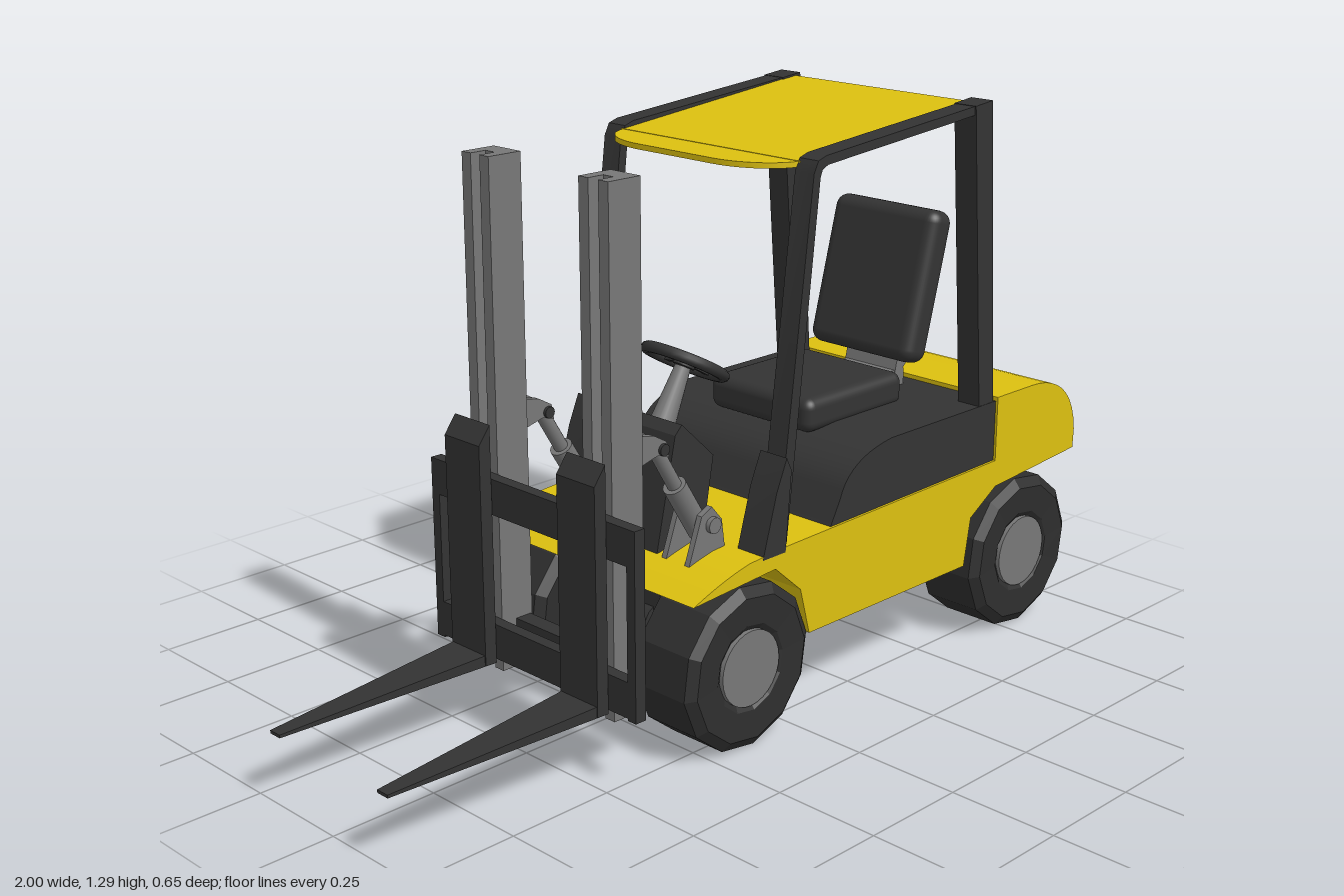
import * as THREE from 'three';
import { toCreasedNormals } from 'three/addons/utils/BufferGeometryUtils.js';
import { RoundedBoxGeometry } from 'three/addons/geometries/RoundedBoxGeometry.js';

const mat = (color, flatShading = false) => new THREE.MeshStandardMaterial({ color, flatShading });
const yellow = mat(0xdcc010), dark = mat(0x333333), grey = mat(0x777777);
const rubber = mat(0x2e2e2e, true);
const MID = -0.006; // centre line of the chassis

export function createModel() {
  const model = new THREE.Group();
  model.name = 'forklift';

  const add = (name, geo, material, x = 0, y = 0, z = 0) => {
    const mesh = new THREE.Mesh(geo, material);
    mesh.name = name;
    mesh.position.set(x, y, z);
    model.add(mesh);
    return mesh;
  };
  const box = (name, material, x0, x1, y0, y1, z0, z1) =>
    add(name, new THREE.BoxGeometry(x1 - x0, y1 - y0, z1 - z0), material, (x0 + x1) / 2, (y0 + y1) / 2, (z0 + z1) / 2);
  const outline = pts => new THREE.Shape(pts.map(p => new THREE.Vector2(...p)));
  // side profile (x, y) extruded to a given width around z
  const slab = (name, material, shape, z, width) => {
    if (Array.isArray(shape)) shape = outline(shape);
    const geo = new THREE.ExtrudeGeometry(shape, { depth: width, bevelEnabled: false, curveSegments: 10 });
    geo.translate(0, 0, -width / 2);
    return add(name, toCreasedNormals(geo, 0.5), material, 0, 0, z);
  };
  // round bar between two points
  const rod = (name, material, a, b, r0, r1 = r0, sides = 16) => {
    const from = new THREE.Vector3(...a), to = new THREE.Vector3(...b);
    const dir = to.clone().sub(from);
    const mesh = add(name, new THREE.CylinderGeometry(r1, r0, dir.length(), sides), material);
    mesh.position.copy(from).add(to).multiplyScalar(0.5);
    mesh.quaternion.setFromUnitVectors(new THREE.Vector3(0, 1, 0), dir.normalize());
    return mesh;
  };

  // Chassis with wheel arches and rounded tail
  const body = new THREE.Shape();
  body.moveTo(0.04, 0.21);
  [[0.58, 0.21], [0.6, 0.325], [0.69, 0.38], [0.998, 0.403], [1, 0.45]].forEach(p => body.lineTo(...p));
  body.bezierCurveTo(0.99, 0.56, 0.91, 0.6, 0.82, 0.6);
  [[0.685, 0.6], [0.685, 0.445], [-0.03, 0.432], [-0.15, 0.425]].forEach(p => body.lineTo(...p));
  body.quadraticCurveTo(-0.23, 0.41, -0.315, 0.375);
  [[-0.07, 0.39], [0.01, 0.32]].forEach(p => body.lineTo(...p));
  slab('chassis', yellow, body, MID, 0.644);
  slab('rearAxleBlock', dark, [[0.59, 0.1], [0.86, 0.1], [0.97, 0.41], [0.59, 0.37]], 0, 0.275);

  // Wheels: twelve-sided tyres with round hubs
  const tyre = new THREE.LatheGeometry([[0.08, -0.07], [0.1, -0.084], [0.165, -0.088], [0.188, -0.072],
    [0.188, 0.072], [0.165, 0.088], [0.1, 0.084], [0.08, 0.07]].map(p => new THREE.Vector2(...p)), 12);
  const hub = new THREE.CylinderGeometry(0.086, 0.086, 0.171, 28);
  tyre.rotateX(Math.PI / 2);
  hub.rotateX(Math.PI / 2);
  for (const x of [-0.15, 0.795]) {
    for (const s of [-1, 1]) {
      add('tyre', tyre, rubber, x, 0.19, s * 0.238).rotation.z = 0.12;
      add('hub', hub, grey, x, 0.19, s * 0.238);
    }
    rod('axle', dark, [x, 0.19, -0.2], [x, 0.19, 0.2], 0.045);
  }
  rod('differential', dark, [-0.15, 0.2, -0.08], [-0.15, 0.2, 0.08], 0.09);
  box('axleMount', dark, -0.2, -0.1, 0.2, 0.4, -0.1, 0.1);

  // Seat base
  const base = new THREE.Shape();
  base.moveTo(0.11, 0.434);
  base.lineTo(0.685, 0.44);
  base.lineTo(0.685, 0.59);
  base.lineTo(0.31, 0.59);
  base.bezierCurveTo(0.22, 0.58, 0.16, 0.55, 0.14, 0.49);
  slab('seatBase', dark, base, MID, 0.632);

  // Seat
  add('seatCushion', new RoundedBoxGeometry(0.33, 0.08, 0.31, 4, 0.025), dark, 0.38, 0.617, MID);
  box('seatBracket', grey, 0.5, 0.64, 0.59, 0.63, -0.08, 0.07);
  add('seatBack', new RoundedBoxGeometry(0.08, 0.36, 0.312, 4, 0.03), dark, 0.635, 0.838, MID).rotation.z = -0.26;
  slab('seatBackShell', grey, [[0.6, 0.6], [0.65, 0.645], [0.738, 0.905], [0.712, 1], [0.69, 0.99]], MID, 0.155);

  // Overhead guard
  const hoop = [[-0.055, 0.43], [-0.025, 0.43], [0.062, 1.205], [0.068, 1.22], [0.085, 1.228], [0.6, 1.272],
    [0.6, 1.292], [0.08, 1.248], [0.055, 1.24], [0.042, 1.215]];
  for (const s of [-1, 1]) {
    const z = MID + s * 0.285;
    slab('guardHoop', dark, hoop, z, 0.052);
    slab('guardFoot', dark, [[-0.11, 0.42], [-0.04, 0.42], [-0.025, 0.6], [-0.04, 0.63], [-0.07, 0.56]], z, 0.075);
    slab('rearPillar', dark, [[0.635, 0.44], [0.687, 0.44], [0.625, 1.296], [0.565, 1.29]], z, 0.06);
  }
  slab('roofSheet', yellow, [[0.05, 1.222], [0.61, 1.278], [0.61, 1.29], [0.05, 1.234]], MID, 0.53);
  const lip = new THREE.Shape();
  lip.moveTo(0.055, -0.262);
  lip.lineTo(0.055, 0.262);
  lip.bezierCurveTo(-0.01, 0.25, -0.048, 0.18, -0.048, 0.11);
  lip.lineTo(-0.048, -0.11);
  lip.bezierCurveTo(-0.048, -0.18, -0.01, -0.25, 0.055, -0.262);
  const lipGeo = new THREE.ExtrudeGeometry(lip, { depth: 0.012, bevelEnabled: false });
  lipGeo.rotateX(-Math.PI / 2);
  add('roofLip', toCreasedNormals(lipGeo, 0.5), yellow, 0, 1.221, MID);

  // Dashboard and steering wheel
  slab('dashboard', dark, [[-0.22, 0.41], [-0.08, 0.42], [-0.05, 0.59], [-0.145, 0.68], [-0.165, 0.66]], -0.01, 0.245);
  rod('steeringColumn', grey, [-0.1, 0.61, -0.01], [-0.02, 0.755, -0.01], 0.032, 0.018);
  const steering = new THREE.Group();
  steering.name = 'steeringWheel';
  const part = (name, geo) => {
    const mesh = new THREE.Mesh(geo, dark);
    mesh.name = name;
    steering.add(mesh);
    return mesh;
  };
  part('rim', new THREE.TorusGeometry(0.09, 0.013, 10, 32)).rotation.x = Math.PI / 2;
  part('boss', new THREE.CylinderGeometry(0.025, 0.025, 0.022, 16));
  for (let i = 0; i < 5; i++) {
    const geo = new THREE.BoxGeometry(0.085, 0.01, 0.016);
    geo.translate(0.045, 0, 0);
    part('spoke', geo).rotation.y = i * Math.PI * 0.4;
  }
  steering.position.set(-0.013, 0.765, -0.01);
  steering.rotation.z = -0.53;
  model.add(steering);

  // Mast rails (slot facing the forks), tilt cylinders and forks
  for (const s of [-1, 1]) {
    const z = MID + s * 0.176;
    const rail = outline([[-0.355, -0.042], [-0.355, 0.042], [-0.44, 0.042], [-0.44, 0.014], [-0.4, 0.014],
      [-0.4, -0.014], [-0.44, -0.014], [-0.44, -0.042]]);
    const railGeo = new THREE.ExtrudeGeometry(rail, { depth: 1.128, bevelEnabled: false });
    railGeo.rotateX(-Math.PI / 2);
    add('mastRail', railGeo, grey, 0, 0.128, z);

    for (const side of [-1, 1])
      slab('mastClevis', grey, [[-0.36, 0.655], [-0.3, 0.67], [-0.268, 0.66], [-0.275, 0.695], [-0.31, 0.715], [-0.36, 0.725]],
        z + side * 0.022, 0.014);
    rod('clevisPin', dark, [-0.285, 0.68, z - 0.036], [-0.285, 0.68, z + 0.036], 0.013);
    rod('tiltRod', grey, [-0.285, 0.68, z], [-0.2, 0.54, z], 0.016);
    rod('tiltCylinder', grey, [-0.225, 0.58, z], [-0.15, 0.46, z], 0.026);
    for (const side of [-1, 1])
      slab('chassisClevis', grey, [[-0.225, 0.4], [-0.115, 0.42], [-0.125, 0.49], [-0.155, 0.525], [-0.185, 0.51]],
        z + side * 0.034, 0.014);
    rod('chassisPin', grey, [-0.155, 0.485, z - 0.052], [-0.155, 0.485, z + 0.052], 0.018);

    // Tapered blade: narrows and thins towards the tip
    const blade = new THREE.BoxGeometry(0.53, 1, 1);
    const pos = blade.attributes.position;
    for (let i = 0; i < pos.count; i++) {
      const tip = pos.getX(i) < 0;
      pos.setY(i, pos.getY(i) > 0 ? (tip ? 0.164 : 0.188) : (tip ? 0.157 : 0.162));
      pos.setZ(i, pos.getZ(i) * (tip ? 0.032 : 0.112));
    }
    blade.computeVertexNormals();
    add('forkBlade', blade, dark, -0.735, 0, z);
    slab('forkUpright', dark, [[-0.5, 0.163], [-0.47, 0.163], [-0.47, 0.7], [-0.5, 0.66]], z, 0.112);
    box('carriagePost', dark, -0.468, -0.44, 0.165, 0.58, -0.012 + s * 0.305 - 0.012, -0.012 + s * 0.305 + 0.012);
    box('carriageRoller', dark, -0.46, -0.4, 0.2, 0.56, z - 0.012, z + 0.012);
  }
  for (const y of [0.2, 0.53]) box('carriageBar', dark, -0.468, -0.44, y - 0.03, y + 0.05, -0.328, 0.304);
  box('mastCrossbar', dark, -0.4, -0.36, 0.17, 0.24, -0.15, 0.14);

  return model;
}
